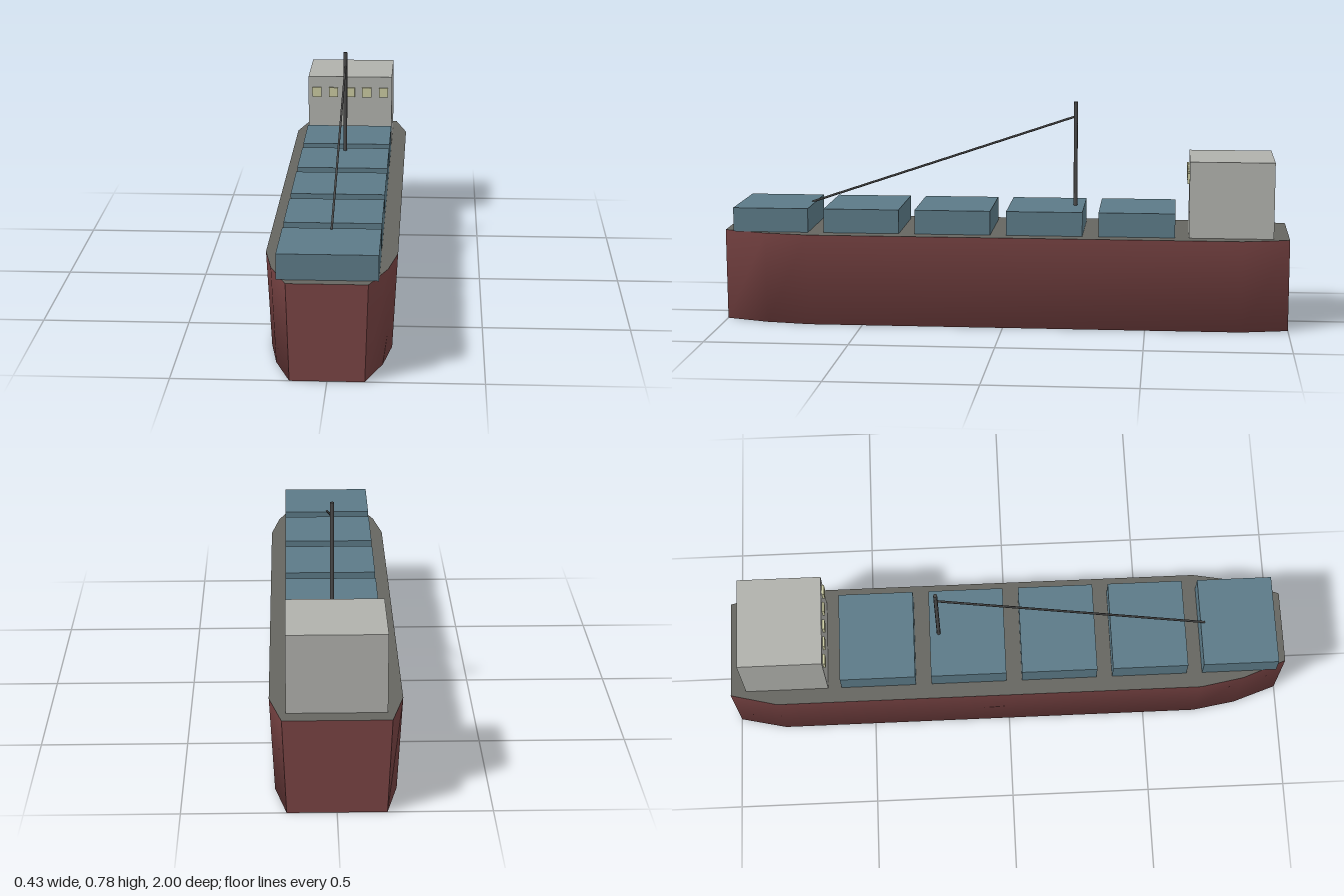
import * as THREE from 'three';

const mat = (name, color) => {
  const m = new THREE.MeshStandardMaterial({ color });
  m.name = name;
  return m;
};

const DECK_Y = 0.325;
const BOTTOM_SCALE = 0.92;
// hull stations, stern to bow: [z, half width at deck]
const STATIONS = [[-1, 0.175], [-0.835, 0.216], [0.69, 0.216], [0.845, 0.188], [1, 0.13]];

// Four-cornered cross-sections lofted along z, with flat ends and an open top
function hullGeometry() {
  const pos = [], index = [];
  const ring = ([z, w]) => {
    const first = pos.length / 3, b = w * BOTTOM_SCALE;
    pos.push(b, 0, z, w, DECK_Y, z, -w, DECK_Y, z, -b, 0, z);
    return first;
  };
  const starts = STATIONS.map(ring);
  for (let i = 0; i < starts.length - 1; i++) {
    for (const j of [0, 2, 3]) {
      const k = (j + 1) % 4, a = starts[i], b = starts[i + 1];
      index.push(a + j, a + k, b + j, a + k, b + k, b + j);
    }
  }
  const s = ring(STATIONS[0]), e = ring(STATIONS[STATIONS.length - 1]);
  index.push(s, s + 3, s + 2, s, s + 2, s + 1);
  index.push(e, e + 1, e + 2, e, e + 2, e + 3);
  const g = new THREE.BufferGeometry();
  g.setAttribute('position', new THREE.Float32BufferAttribute(pos, 3));
  g.setIndex(index);
  g.computeVertexNormals();
  return g;
}

// Flat deck following the hull outline
function deckGeometry() {
  const right = STATIONS.map(([z, w]) => new THREE.Vector2(w, -z));
  const left = STATIONS.map(([z, w]) => new THREE.Vector2(-w, -z)).reverse();
  return new THREE.ShapeGeometry(new THREE.Shape([...right, ...left]))
    .rotateX(-Math.PI / 2).translate(0, DECK_Y, 0);
}

export function createModel() {
  const ship = new THREE.Group();
  ship.name = 'cargoShip';

  const hullRed = mat('hullRed', 0x784343);
  const deckGrey = mat('deckGrey', 0x666660);
  const hatchBlue = mat('hatchBlue', 0x5c7a87);
  const houseGrey = mat('houseGrey', 0xb0b1ac);
  const windowYellow = mat('windowYellow', 0xc8c8a0);
  const mastGrey = mat('mastGrey', 0x4a4a4a);

  const add = (name, geometry, material, x = 0, y = 0, z = 0) => {
    const mesh = new THREE.Mesh(geometry, material);
    mesh.name = name;
    mesh.position.set(x, y, z);
    ship.add(mesh);
    return mesh;
  };

  add('hull', hullGeometry(), hullRed);
  add('deck', deckGeometry(), deckGrey);

  // cargo blocks in a row along the deck
  const cargo = new THREE.BoxGeometry(0.324, 0.085, 0.268);
  for (let i = 0; i < 5; i++) {
    add('cargoBlock', cargo, hatchBlue, 0, DECK_Y + 0.0425, -0.468 + i * 0.3245);
  }

  // deckhouse at the stern with five windows facing forward
  add('deckhouse', new THREE.BoxGeometry(0.324, 0.268, 0.295), houseGrey, 0, DECK_Y + 0.134, -0.7975);
  const pane = new THREE.BoxGeometry(0.036, 0.037, 0.009);
  for (let i = -2; i <= 2; i++) {
    add('window', pane, windowYellow, i * 0.0648, 0.532, -0.6465);
  }

  // mast and the slanting boom running forward
  add('mast', new THREE.CylinderGeometry(0.007, 0.007, 0.372, 8), mastGrey, 0, 0.596, -0.245);
  const from = new THREE.Vector3(0, 0.73, -0.245), to = new THREE.Vector3(0, 0.409, 0.71);
  const dir = to.clone().sub(from);
  const boom = add('boom', new THREE.CylinderGeometry(0.004, 0.004, dir.length(), 6), mastGrey);
  boom.position.copy(from).lerp(to, 0.5);
  boom.quaternion.setFromUnitVectors(new THREE.Vector3(0, 1, 0), dir.normalize());

  return ship;
}
